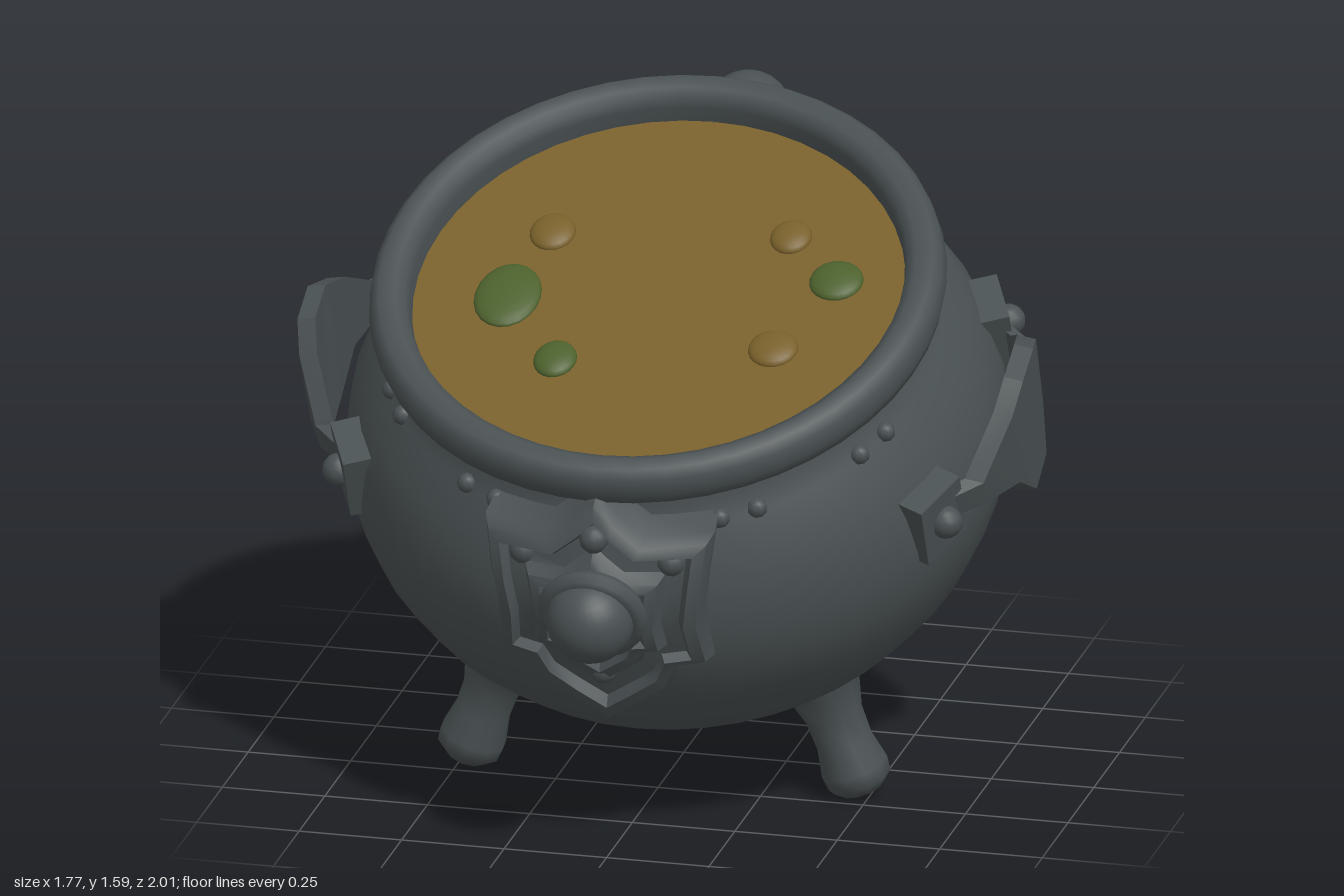
import * as THREE from 'three';
import { toCreasedNormals } from 'three/addons/utils/BufferGeometryUtils.js';

const iron = new THREE.MeshStandardMaterial({ color: 0x4a5153 });
iron.name = 'iron';
const brew = new THREE.MeshStandardMaterial({ color: 0x78602a });
brew.name = 'brew';
const slime = new THREE.MeshStandardMaterial({ color: 0x4c602c });
slime.name = 'slime';

const V = (x, y, z) => new THREE.Vector3(x, y, z);

function add(parent, name, geometry, material = iron) {
  const mesh = new THREE.Mesh(geometry, material);
  mesh.name = name;
  parent.add(mesh);
  return mesh;
}

const lathe = (pts, sides) =>
  new THREE.LatheGeometry(pts.map(([r, y]) => new THREE.Vector2(r, y)), sides);

// Closed solid through rings of equal point count, capped at both ends, faces turned outward.
function loft(rings, crease = 0.6) {
  const n = rings[0].length, verts = rings.flat(), tris = [];
  for (let i = 0; i < rings.length - 1; i++)
    for (let j = 0; j < n; j++) {
      const a = i * n + j, b = i * n + (j + 1) % n;
      tris.push([a, b, b + n], [a, b + n, a + n]);
    }
  [0, rings.length - 1].forEach((r, end) => {
    const c = rings[r].reduce((s, p) => s.add(p), V(0, 0, 0)).divideScalar(n);
    const k = verts.push(c) - 1;
    for (let j = 0; j < n; j++) {
      const a = r * n + j, b = r * n + (j + 1) % n;
      tris.push(end ? [a, b, k] : [b, a, k]);
    }
  });
  const mid = verts.reduce((s, p) => s.add(p), V(0, 0, 0)).divideScalar(verts.length);
  let volume = 0;
  for (const t of tris) {
    const [a, b, c] = t.map((i) => verts[i].clone().sub(mid));
    volume += a.dot(b.cross(c));
  }
  if (volume < 0) tris.forEach((t) => t.reverse());
  const g = new THREE.BufferGeometry();
  g.setAttribute('position', new THREE.Float32BufferAttribute(verts.flatMap((p) => [p.x, p.y, p.z]), 3));
  g.setIndex(tris.flat());
  return toCreasedNormals(g, crease);
}

// Crest: an outline wrapped over the belly, with a raised frame and a domed boss.
function makeCrest() {
  const crest = new THREE.Group();
  crest.name = 'crest';
  const half = [[0, 0.07], [0.05, 0.11], [0.12, 0.16], [0.28, 0.165], [0.265, 0.27], [0.25, 0.37],
    [0.26, 0.5], [0.185, 0.505], [0.155, 0.575], [0.08, 0.63], [0, 0.69]];
  const outline = [...half, ...half.slice(1, -1).reverse().map(([x, t]) => [-x, t])];
  const radius = (t) => t < 0.38 ? 0.655 + 0.125 * Math.sin(Math.max(t - 0.08, 0) / 0.3 * Math.PI / 2)
    : 0.78 - (t - 0.38) * 0.03;
  const ring = ([s, depth]) => outline.map(([x, t]) => {
    const px = x * s, pt = 0.34 + (t - 0.34) * s;
    return V(px, -pt, Math.sqrt(radius(pt) ** 2 - px * px) + depth);
  });
  const levels = [[0.97, -0.07], [1, 0.02], [0.95, 0.05], [0.84, 0.055], [0.78, 0.03],
    [0.62, 0.03], [0.56, 0.06], [0.46, 0.065], [0.38, 0.04]];
  add(crest, 'crestPlate', loft(levels.map(ring), 0.7));
  const collar = add(crest, 'crestCollar', new THREE.TorusGeometry(0.105, 0.028, 8, 24));
  collar.position.set(0, -0.32, 0.825);
  const boss = add(crest, 'crestBoss', new THREE.SphereGeometry(0.105, 24, 16));
  boss.position.set(0, -0.315, 0.85);
  // Small studs in the corners
  for (const [x, t, z] of [[0.18, 0.22, 0.73], [-0.18, 0.22, 0.73], [0, 0.52, 0.81], [0, 0.155, 0.74]]) {
    const stud = add(crest, 'crestStud', new THREE.SphereGeometry(0.035, 10, 8));
    stud.position.set(x, -t, z);
  }
  return crest;
}

// Handle: a wide faceted grip held by two riveted plates.
function makeHandle(side) {
  const handle = new THREE.Group();
  handle.name = side > 0 ? 'leftHandle' : 'rightHandle';
  const stations = [[-0.33, 0.7, -0.45, -0.37], [-0.25, 0.8, -0.46, -0.37], [-0.15, 0.85, -0.49, -0.26],
    [-0.06, 0.87, -0.57, -0.2], [0.05, 0.87, -0.58, -0.2], [0.12, 0.855, -0.49, -0.25],
    [0.24, 0.8, -0.45, -0.36], [0.33, 0.7, -0.44, -0.36]];
  add(handle, 'grip', loft(stations.map(([z, x, lo, hi]) => [
    V(side * (x - 0.03), lo, z), V(side * (x + 0.01), lo + 0.01, z),
    V(side * (x + 0.015), hi - 0.01, z), V(side * (x - 0.03), hi, z)]), 0.4));
  for (const s of [-1, 1]) {
    const mount = new THREE.Group();
    mount.name = 'handleMount';
    const angle = Math.atan2(side * 0.7, s * 0.32);
    mount.position.set(side * 0.7, -0.41, s * 0.32);
    mount.rotation.y = angle;
    handle.add(mount);
    add(mount, 'mountPlate', new THREE.BoxGeometry(0.15, 0.17, 0.08));
    add(mount, 'mountRivet', new THREE.SphereGeometry(0.04, 12, 8)).position.z = 0.045;
  }
  return handle;
}

export function createModel() {
  const model = new THREE.Group();
  model.name = 'cauldron';

  // Tilted frame with its origin at the centre of the mouth
  const pot = new THREE.Group();
  pot.name = 'pot';
  pot.position.set(0, 1.315, 0.275);
  pot.rotation.x = 0.4446;
  model.add(pot);

  add(pot, 'belly', lathe([[0, -1.115], [0.12, -1.113], [0.25, -1.1], [0.4, -1.055], [0.53, -0.985],
    [0.63, -0.9], [0.705, -0.8], [0.76, -0.68], [0.785, -0.57], [0.785, -0.47], [0.765, -0.37],
    [0.72, -0.27], [0.665, -0.195], [0.635, -0.15], [0.62, -0.1]], 48));
  add(pot, 'rim', toCreasedNormals(lathe([[0.615, -0.15], [0.645, -0.12], [0.68, -0.09], [0.688, -0.06],
    [0.68, -0.02], [0.66, 0], [0.62, 0], [0.598, -0.015], [0.59, -0.04], [0.585, -0.12]], 48), 0.9));

  // Contents with bubbles
  const surface = add(pot, 'brewSurface', new THREE.CircleGeometry(0.6, 48), brew);
  surface.rotation.x = -Math.PI / 2;
  surface.position.y = -0.08;
  const bubbles = [[-0.3, -0.18, 0.055, 0.06, brew], [0.27, -0.23, 0.05, 0.055, brew],
    [0.31, 0.14, 0.06, 0.06, brew], [0.41, -0.1, 0.065, 0.065, slime],
    [-0.36, 0.04, 0.08, 0.105, slime], [-0.2, 0.235, 0.052, 0.06, slime]];
  for (const [x, z, rx, rz, mat] of bubbles) {
    const b = add(pot, 'bubble', new THREE.SphereGeometry(1, 20, 12), mat);
    b.position.set(x, -0.08, z);
    b.scale.set(rx, 0.022, rz);
  }

  // Four flared legs
  const legShape = lathe([[0, 0], [0.05, 0], [0.078, 0.025], [0.082, 0.06], [0.068, 0.13],
    [0.07, 0.2], [0.09, 0.27], [0.14, 0.36]], 10);
  for (const sx of [-1, 1]) for (const sz of [-1, 1]) {
    const leg = add(pot, sz > 0 ? 'frontLeg' : 'backLeg', legShape);
    leg.position.set(sx * 0.485, -1.2, sz * 0.475);
    leg.quaternion.setFromUnitVectors(V(0, 1, 0), V(-sx * 0.12, 0.31, -sz * 0.12).normalize());
  }

  // Crests front and back
  pot.add(makeCrest());
  const backCrest = makeCrest();
  backCrest.rotation.y = Math.PI;
  pot.add(backCrest);

  for (const side of [-1, 1]) pot.add(makeHandle(side));

  // Rivets below the rim
  for (let q = 0; q < 4; q++) for (const d of [-0.36, -0.22, 0.22, 0.36]) {
    const a = Math.PI / 4 + q * Math.PI / 2 + d;
    const rivet = add(pot, 'neckRivet', new THREE.SphereGeometry(0.025, 8, 6));
    rivet.position.set(Math.sin(a) * 0.66, -0.19, Math.cos(a) * 0.66);
  }

  // Pointed crescent shelf at the back: [x, then z,y pairs around each section]
  const sections = [
    [0, [-1, 0.98], [-0.89, 1.01], [-0.85, 0.91], [-0.6, 0.88], [-0.58, 0.73], [-0.81, 0.75]],
    [0.32, [-0.9, 0.95], [-0.84, 0.96], [-0.78, 0.88], [-0.55, 0.86], [-0.55, 0.73], [-0.77, 0.75]],
    [0.5, [-0.76, 0.92], [-0.72, 0.94], [-0.69, 0.88], [-0.63, 0.86], [-0.63, 0.75], [-0.69, 0.76]],
    [0.64, [-0.63, 0.9], [-0.615, 0.91], [-0.61, 0.9], [-0.605, 0.88], [-0.605, 0.85], [-0.62, 0.84]]];
  const ring = ([x, ...pts], s) => pts.map(([z, y]) => V(s * x, y, z));
  add(model, 'backShelf', loft([...sections.slice(1).reverse().map((s) => ring(s, -1)),
    ...sections.map((s) => ring(s, 1))], 0.5));

  return model;
}
